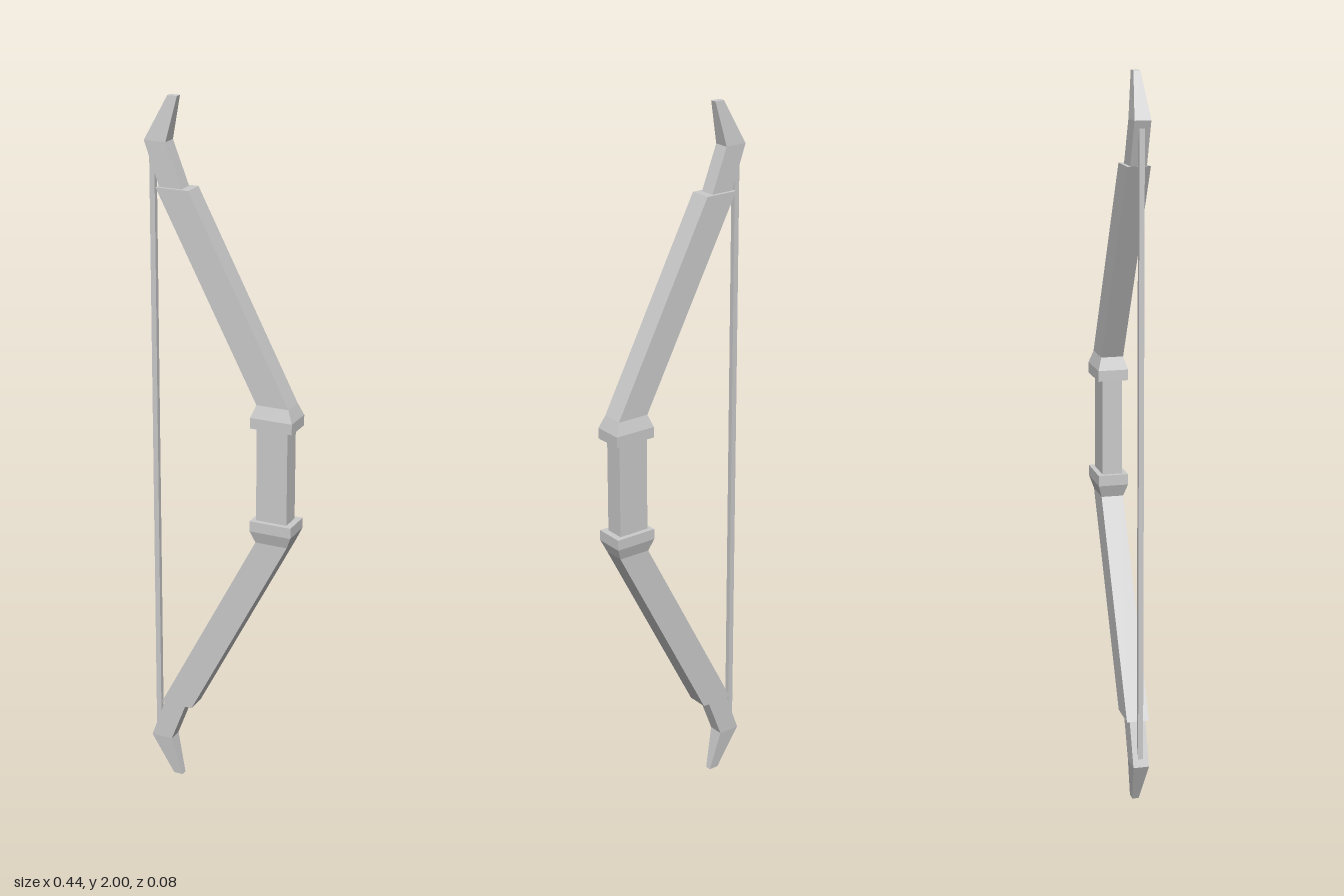
import * as THREE from 'three';

const material = new THREE.MeshStandardMaterial({ color: 0xcccccc, flatShading: true });

// Closed loft through rectangular sections [y, xMin, xMax, halfDepth], listed bottom to top
function loft(name, sections) {
  const positions = [];
  const index = [];
  for (const [y, x0, x1, d] of sections) {
    positions.push(x0, y, d, x1, y, d, x1, y, -d, x0, y, -d);
  }
  for (let s = 0; s < sections.length - 1; s++) {
    for (let i = 0; i < 4; i++) {
      const a = s * 4 + i, b = s * 4 + (i + 1) % 4;
      index.push(a, b, b + 4, a, b + 4, a + 4);
    }
  }
  const t = (sections.length - 1) * 4;
  index.push(0, 2, 1, 0, 3, 2, t, t + 1, t + 2, t, t + 2, t + 3);
  const indexed = new THREE.BufferGeometry();
  indexed.setAttribute('position', new THREE.Float32BufferAttribute(positions, 3));
  indexed.setIndex(index);
  const geometry = indexed.toNonIndexed();
  geometry.computeVertexNormals();
  const mesh = new THREE.Mesh(geometry, material);
  mesh.name = name;
  return mesh;
}

// Same sections reflected about the middle of the bow
const mirrored = (sections) => sections.map(([y, ...rest]) => [2 - y, ...rest]).reverse();

export function createModel() {
  const bow = new THREE.Group();
  bow.name = 'bow';

  // Upper half; the lower half mirrors it
  const halfParts = {
    Collar: [[1.135, 0.097, 0.218, 0.042], [1.165, 0.097, 0.218, 0.042], [1.2, 0.11, 0.203, 0.031]],
    Limb: [[1.2, 0.11, 0.203, 0.031], [1.76, -0.183, -0.088, 0.031]],
    Tip: [[1.755, -0.175, -0.109, 0.022], [1.88, -0.22, -0.157, 0.022], [2, -0.157, -0.129, 0.009]],
  };
  for (const [part, sections] of Object.entries(halfParts)) {
    bow.add(loft('upper' + part, sections), loft('lower' + part, mirrored(sections)));
  }

  // Grip between the collars
  bow.add(loft('grip', [[0.865, 0.11, 0.2, 0.028], [1.135, 0.11, 0.2, 0.028]]));

  // String stretched between the bends of the tips
  const string = new THREE.Mesh(new THREE.BoxGeometry(0.015, 1.74, 0.014), material);
  string.name = 'string';
  string.position.set(-0.205, 1, 0);
  bow.add(string);

  return bow;
}
